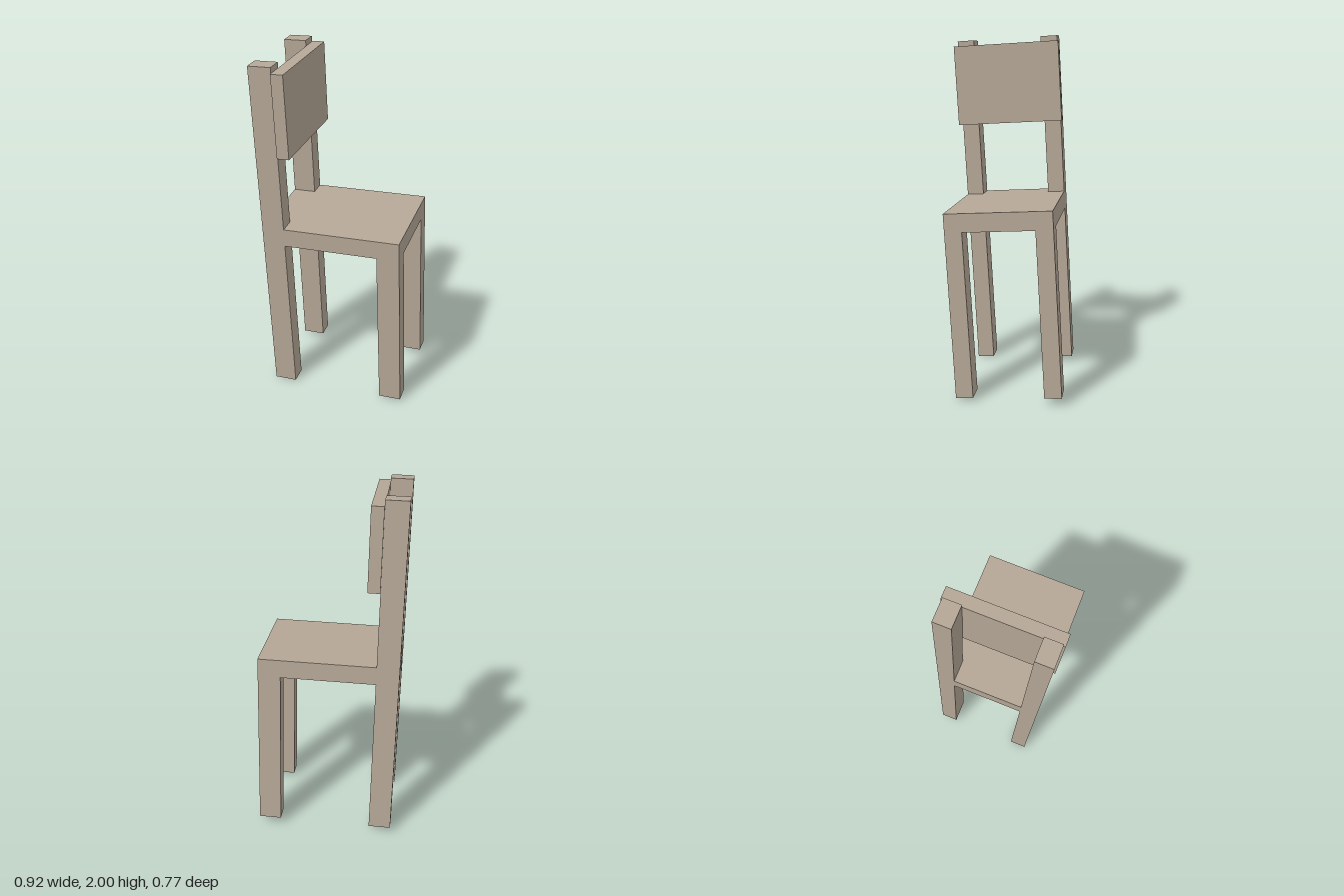
import * as THREE from 'three';

export function createModel() {
  const model = new THREE.Group();
  const wood = new THREE.MeshStandardMaterial({ color: 0xb5a797 });
  wood.name = 'pale wood';

  // Leaning frame: chair forward = local x, up = local y, side = local z.
  // Its origin is the seat's top front corner on the +z side.
  const up = new THREE.Vector3(-0.027, 1, 0.056).normalize();
  const side = new THREE.Vector3(-0.166, -0.06, 0.985);
  const forward = new THREE.Vector3().crossVectors(up, side).normalize();
  side.crossVectors(forward, up);
  const chair = new THREE.Group();
  chair.name = 'chair';
  chair.quaternion.setFromRotationMatrix(new THREE.Matrix4().makeBasis(forward, up, side));
  chair.position.set(0.335, 1.06, 0.383);
  model.add(chair);

  // Box given by its local limits
  const addBox = (name, [x0, x1], [y0, y1], [z0, z1]) => {
    const mesh = new THREE.Mesh(new THREE.BoxGeometry(x1 - x0, y1 - y0, z1 - z0), wood);
    mesh.name = name;
    mesh.position.set((x0 + x1) / 2, (y0 + y1) / 2, (z0 + z1) / 2);
    chair.add(mesh);
  };

  const depth = 0.784, width = 0.593, thick = 0.104;
  const postDepth = 0.127, postWidth = 0.097;
  const floor = -1.045, postTop = 0.921;
  const backX = [-depth, -depth + postDepth];

  addBox('seat', [-depth, 0], [-thick, 0], [-width, 0]);

  // Legs and back posts, flush with the seat's corners
  for (const [label, z] of [['Right', [-postWidth, 0]], ['Left', [-width, -width + postWidth]]]) {
    addBox('frontLeg' + label, [-postDepth, 0], [floor, -thick], z);
    addBox('backLeg' + label, backX, [floor, -thick], z);
    addBox('backPost' + label, backX, [0, postTop], z);
  }

  // Back panel on the front of the posts, slightly wider than the seat
  addBox('backrest', [backX[1], backX[1] + 0.068], [0.43, 0.89], [-width - 0.011, 0.011]);

  return model;
}
